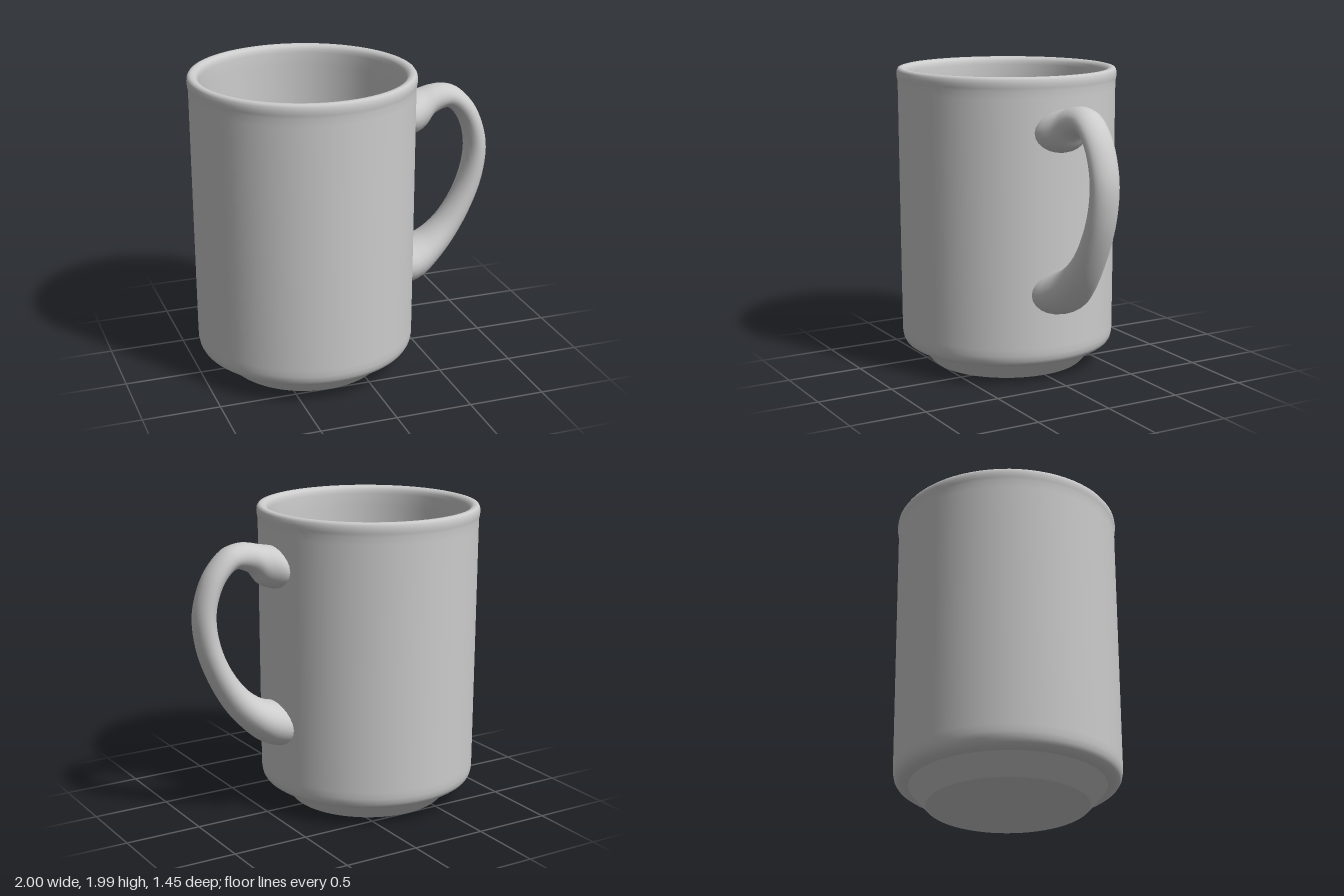
import * as THREE from 'three';

const AXIS_X = -0.274;

export function createModel() {
  const mug = new THREE.Group();
  mug.name = 'mug';
  const glaze = new THREE.MeshStandardMaterial({ color: 0xcccccc });
  glaze.name = 'grey glaze';

  const add = (name, geometry, x = 0) => {
    const mesh = new THREE.Mesh(geometry, glaze);
    mesh.name = name;
    mesh.position.x = x;
    mug.add(mesh);
  };
  const lathe = (name, profile) => add(name,
    new THREE.LatheGeometry(profile.map(([r, y]) => new THREE.Vector2(r, y)), 72), AXIS_X);

  // Foot: flat underside and flared side, kept apart for crisp edges
  lathe('footUnderside', [[0, 0], [0.505, 0]]);
  lathe('footSide', [[0.505, 0], [0.515, 0.008], [0.565, 0.066], [0.615, 0.125]]);
  lathe('bodyUnderside', [[0.6, 0.125], [0.645, 0.125]]);

  // Outer wall with rounded lower edge, rolled rim and inside wall curving into the floor
  lathe('body', [
    [0.645, 0.125], [0.668, 0.13], [0.69, 0.146], [0.704, 0.17], [0.711, 0.205], [0.712, 0.25],
    [0.715, 1.0], [0.718, 1.85], [0.719, 1.9], [0.723, 1.92], [0.726, 1.945], [0.723, 1.97],
    [0.714, 1.984], [0.7, 1.988], [0.682, 1.986], [0.666, 1.976], [0.657, 1.96], [0.653, 1.935],
    [0.65, 1.85], [0.645, 1.0], [0.64, 0.36], [0.632, 0.31], [0.61, 0.265],
    [0.575, 0.235], [0.52, 0.22], [0.4, 0.215], [0, 0.215],
  ]);

  add('handle', handleGeometry());
  return mug;
}

// Handle: elliptical cross-sections between an outer and an inner edge, flared at both ends
function handleGeometry() {
  // outer x, outer y, inner x, inner y, half width
  const stations = [
    [0.39, 1.765, 0.39, 1.51, 0.192],
    [0.45, 1.782, 0.45, 1.508, 0.182],
    [0.53, 1.798, 0.535, 1.54, 0.14],
    [0.6, 1.815, 0.595, 1.615, 0.115],
    [0.68, 1.82, 0.65, 1.645, 0.103],
    [0.78, 1.79, 0.71, 1.66, 0.1],
    [0.9, 1.67, 0.78, 1.605, 0.098],
    [0.97, 1.52, 0.833, 1.5, 0.097],
    [0.999, 1.36, 0.855, 1.37, 0.097],
    [0.973, 1.15, 0.833, 1.21, 0.098],
    [0.9, 0.95, 0.765, 1.04, 0.103],
    [0.78, 0.74, 0.665, 0.895, 0.117],
    [0.65, 0.59, 0.56, 0.805, 0.15],
    [0.54, 0.5, 0.48, 0.768, 0.182],
    [0.45, 0.466, 0.43, 0.755, 0.2],
    [0.385, 0.46, 0.385, 0.745, 0.205],
  ];
  const outer = new THREE.CatmullRomCurve3(stations.map((s) => new THREE.Vector3(s[0], s[1], s[4])));
  const inner = new THREE.CatmullRomCurve3(stations.map((s) => new THREE.Vector3(s[2], s[3], 0)));
  const rings = 60, sides = 24;
  const positions = [], index = [];
  for (let i = 0; i <= rings; i++) {
    const o = outer.getPoint(i / rings), n = inner.getPoint(i / rings);
    for (let j = 0; j < sides; j++) {
      const a = (j / sides) * Math.PI * 2, c = Math.cos(a) / 2;
      positions.push(
        (o.x + n.x) / 2 + (o.x - n.x) * c,
        (o.y + n.y) / 2 + (o.y - n.y) * c,
        o.z * Math.sin(a));
      if (i < rings) {
        const p = i * sides + j, q = i * sides + (j + 1) % sides;
        index.push(p, q, p + sides, q, q + sides, p + sides);
      }
    }
  }
  const geometry = new THREE.BufferGeometry();
  geometry.setAttribute('position', new THREE.Float32BufferAttribute(positions, 3));
  geometry.setIndex(index);
  geometry.computeVertexNormals();
  return geometry;
}
